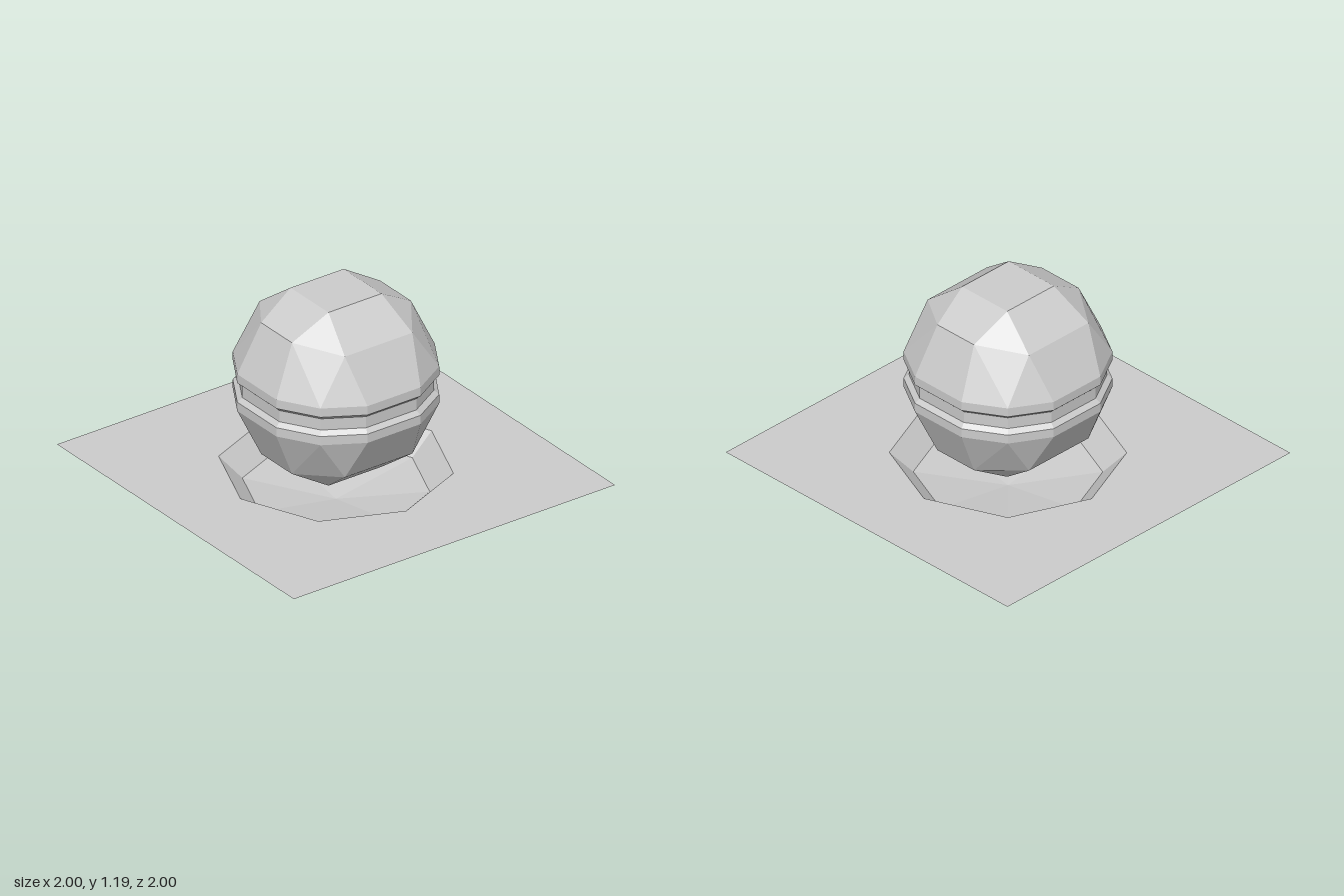
import * as THREE from 'three';

const solid = new THREE.MeshStandardMaterial({ color: 0xcccccc, flatShading: true });
const sheet = new THREE.MeshStandardMaterial({ color: 0xcccccc, flatShading: true, side: THREE.DoubleSide });

function addMesh(group, name, geometry, material) {
  const mesh = new THREE.Mesh(geometry, material);
  mesh.name = name;
  group.add(mesh);
  return mesh;
}

// Reflects the polygons of one octant into all eight, keeping faces outward
function mirrorOctant(polygons) {
  const positions = [];
  for (const sx of [1, -1]) for (const sy of [1, -1]) for (const sz of [1, -1]) {
    const flip = sx * sy * sz < 0;
    for (const polygon of polygons) {
      const p = polygon.map(([x, y, z]) => [x * sx, y * sy, z * sz]);
      if (flip) p.reverse();
      for (let i = 1; i < p.length - 1; i++) positions.push(...p[0], ...p[i], ...p[i + 1]);
    }
  }
  const geometry = new THREE.BufferGeometry();
  geometry.setAttribute('position', new THREE.Float32BufferAttribute(positions, 3));
  geometry.computeVertexNormals();
  return geometry;
}

// A quarter of the twelve-sided outline at one height
const ring = (y, s) =>
  [[0.493, 0], [0.493, 0.165], [0.37, 0.37], [0.165, 0.49], [0, 0.49]].map(([x, z]) => [x * s, y, z * s]);

function bands(rings) {
  const faces = [];
  for (let r = 0; r < rings.length - 1; r++) {
    const a = rings[r], b = rings[r + 1];
    for (let i = 0; i < a.length - 1; i++) faces.push([a[i], a[i + 1], b[i + 1], b[i]]);
  }
  return faces;
}

export function createModel() {
  const model = new THREE.Group();
  model.name = 'grooved ball over crater';

  // Ball: flat cap, faceted shoulder, then the rim stepping into the groove
  const top = 0.495;
  const T = [0.165, top, 0.16], Tx = [0.165, top, 0], Tz = [0, top, 0.16], T0 = [0, top, 0];
  const P = [0.37, 0.375, 0.13], Px = [0.37, 0.375, 0];
  const Q = [0.21, 0.345, 0.36], Qz = [0, 0.345, 0.36];
  const rings = [ring(0.105, 1), ring(0.055, 1), ring(0.032, 0.95), ring(0, 0.95)];
  const [A0, A, B, C, C0] = rings[0];
  const ball = addMesh(model, 'ball', mirrorOctant([
    [T0, Tz, T, Tx],
    [Tx, T, P, Px], [T, Tz, Qz, Q], [T, Q, P],
    [Px, P, A, A0], [P, B, A], [P, Q, B], [Q, C, B], [Q, Qz, C0, C],
    ...bands(rings),
  ]), solid);
  ball.position.y = 0.695;

  // Ground: square sheet with an eight-sided opening
  const ground = new THREE.Shape([[-1, -1], [1, -1], [1, 1], [-1, 1]].map(([x, y]) => new THREE.Vector2(x, y)));
  const hole = [];
  for (let i = 0; i < 8; i++) {
    const a = -i * Math.PI / 4;
    hole.push(new THREE.Vector2(0.595 * Math.cos(a), 0.595 * Math.sin(a)));
  }
  ground.holes.push(new THREE.Path(hole));
  const sheetGeometry = new THREE.ShapeGeometry(ground).rotateX(-Math.PI / 2);
  addMesh(model, 'ground', sheetGeometry, sheet).position.y = 0.195;

  // Crater: sloping wall and shallow floor below the opening
  const profile = [[0, 0], [0.475, 0.08], [0.595, 0.195]].map(([x, y]) => new THREE.Vector2(x, y));
  addMesh(model, 'crater', new THREE.LatheGeometry(profile, 8), sheet);

  return model;
}
